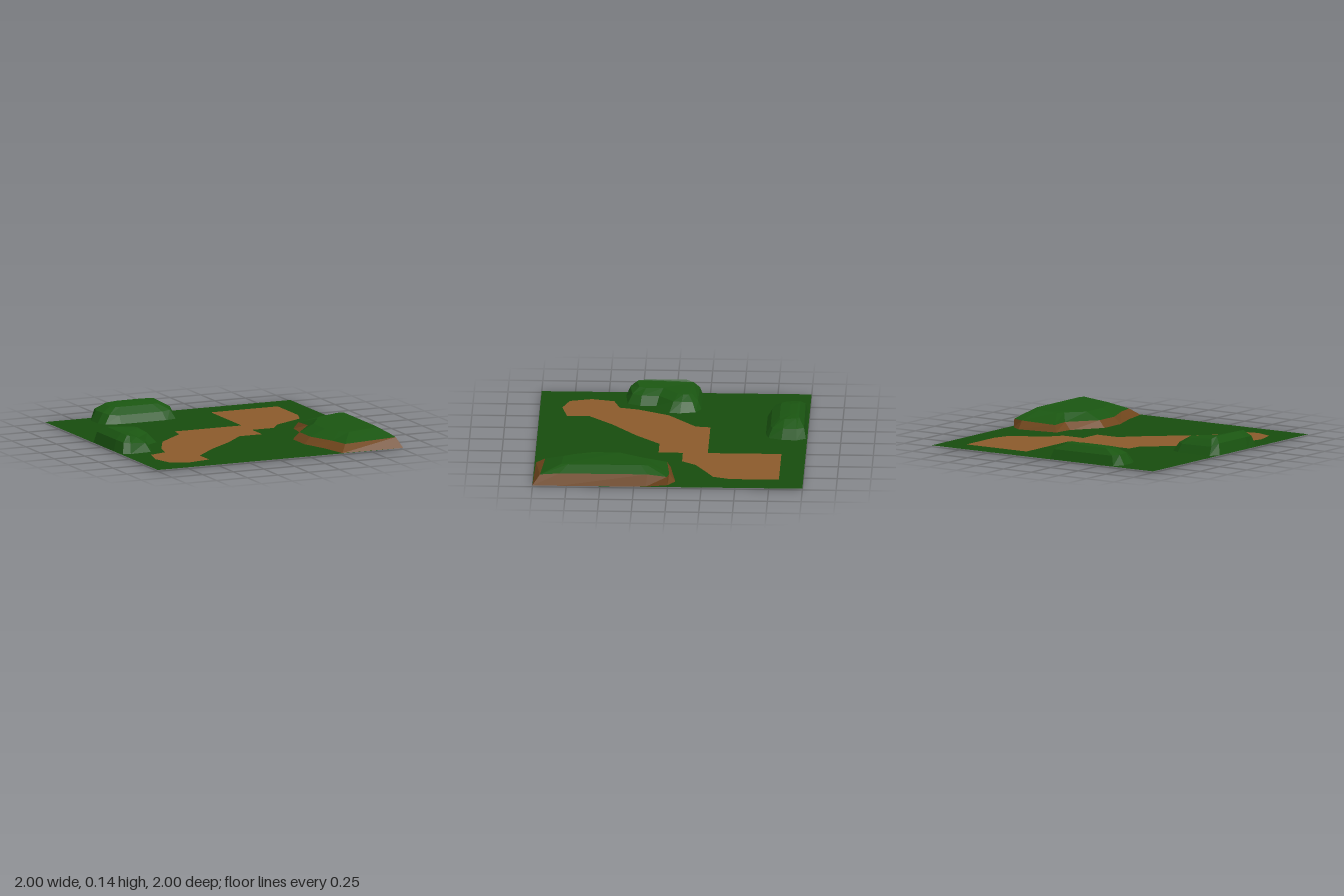
import * as THREE from 'three';

const GROUND_Y = 0.01;
const material = (color, side = THREE.FrontSide) =>
  new THREE.MeshStandardMaterial({ color, roughness: 1, flatShading: true, side });
const grass = material(0x174c0d, THREE.DoubleSide);
const dirt = material(0x8b5a2b, THREE.DoubleSide);
const leaves = material(0x1a5511);
const cliff = material(0x6f451c);

function addMesh(parent, name, geometry, mat) {
  const mesh = new THREE.Mesh(geometry, mat);
  mesh.name = name;
  parent.add(mesh);
}

// Joins rings of [x, y, z] points (clockwise from above); optionally closes the top.
function loft(rings, cap) {
  const positions = [];
  const tri = (a, b, c) => positions.push(...a, ...b, ...c);
  for (let r = 0; r + 1 < rings.length; r++) {
    const low = rings[r], high = rings[r + 1], n = low.length;
    for (let i = 0; i < n; i++) {
      const j = (i + 1) % n;
      tri(low[i], high[i], low[j]);
      tri(low[j], high[i], high[j]);
    }
  }
  if (cap) {
    const top = rings[rings.length - 1];
    const flat = top.map(([x, , z]) => new THREE.Vector2(x, z));
    for (const [a, b, c] of THREE.ShapeUtils.triangulateShape(flat, [])) {
      const area = THREE.ShapeUtils.area([flat[a], flat[b], flat[c]]);
      if (area > 0) tri(top[a], top[c], top[b]);
      else tri(top[a], top[b], top[c]);
    }
  }
  const geometry = new THREE.BufferGeometry();
  geometry.setAttribute('position', new THREE.Float32BufferAttribute(positions, 3));
  geometry.computeVertexNormals();
  return geometry;
}

// Flat geometry on the ground from an x, z outline.
const points = (outline) => outline.map(([x, z]) => new THREE.Vector2(x, -z));
const flatGeometry = (shape) =>
  new THREE.ShapeGeometry(shape).rotateX(-Math.PI / 2).translate(0, GROUND_Y, 0);

export function createModel() {
  const model = new THREE.Group();
  model.name = 'terrainTile';

  // Winding dirt path, set flush into the grass
  const pathOutline = points([
    [0.27, -0.82], [0.815, -0.82], [0.815, -0.46], [0.77, -0.33], [0.64, -0.26],
    [0.525, -0.195], [0.45, -0.09], [0.27, -0.09], [0.27, 0.09], [0.085, 0.09],
    [-0.09, 0.27], [-0.31, 0.45], [-0.49, 0.635], [-0.485, 0.795], [-0.66, 0.835],
    [-0.8, 0.785], [-0.845, 0.62], [-0.805, 0.455], [-0.67, 0.41], [-0.635, 0.27],
    [-0.52, 0.04], [-0.29, -0.165], [-0.275, -0.275], [0.27, -0.275],
  ]);
  const field = new THREE.Shape(points([[-1, -1], [1, -1], [1, 1], [-1, 1]]));
  field.holes.push(new THREE.Path(pathOutline));
  addMesh(model, 'grassField', flatGeometry(field), grass);
  addMesh(model, 'dirtPath', flatGeometry(new THREE.Shape(pathOutline)), dirt);

  // Hill: dirt bank below, grassy crown above
  const hill = new THREE.Group();
  hill.name = 'hill';
  const hillBase = [
    [0.57, 0.01, -0.01], [0.88, 0.01, -0.055], [0.96, 0.01, 0], [0.995, 0.01, 0.16],
    [1, 0.01, 0.8], [1, 0.01, 1], [0.51, 0.01, 0.99], [0.46, 0.005, 0.78],
    [0.39, 0.005, 0.57], [0.39, 0.005, 0.36], [0.545, 0.005, 0.14],
  ];
  const hillEdge = [
    [0.6, 0.06, 0.015], [0.88, 0.07, -0.01], [0.96, 0.075, 0.005], [0.965, 0.095, 0.15],
    [0.965, 0.095, 0.8], [0.965, 0.085, 0.945], [0.565, 0.062, 0.92], [0.53, 0.062, 0.77],
    [0.445, 0.062, 0.56], [0.445, 0.062, 0.37], [0.61, 0.062, 0.16],
  ];
  const hillTop = [
    [0.69, 0.12, 0.17], [0.84, 0.132, 0.15], [0.88, 0.135, 0.15], [0.89, 0.14, 0.2],
    [0.89, 0.14, 0.74], [0.88, 0.138, 0.79], [0.66, 0.12, 0.78], [0.61, 0.117, 0.7],
    [0.56, 0.115, 0.57], [0.56, 0.115, 0.37], [0.66, 0.12, 0.22],
  ];
  addMesh(hill, 'hillBank', loft([hillBase, hillEdge], false), cliff);
  addMesh(hill, 'hillCrown', loft([hillEdge, hillTop], true), leaves);
  model.add(hill);

  // Long bush at the back
  addMesh(model, 'backBush', loft([
    [[-0.63, 0.01, -0.985], [-0.06, 0.01, -0.99], [-0.02, 0.01, -0.92], [-0.03, 0.01, -0.81],
      [-0.065, 0.008, -0.71], [-0.15, 0, -0.685], [-0.52, 0, -0.685], [-0.635, 0.008, -0.725],
      [-0.665, 0.01, -0.79], [-0.67, 0.01, -0.9]],
    [[-0.61, 0.085, -0.97], [-0.09, 0.085, -0.975], [-0.06, 0.085, -0.92], [-0.065, 0.085, -0.82],
      [-0.1, 0.075, -0.74], [-0.17, 0.07, -0.725], [-0.52, 0.07, -0.725], [-0.59, 0.075, -0.745],
      [-0.62, 0.085, -0.8], [-0.63, 0.085, -0.9]],
    [[-0.53, 0.13, -0.935], [-0.18, 0.135, -0.935], [-0.15, 0.135, -0.915], [-0.15, 0.13, -0.83],
      [-0.18, 0.12, -0.795], [-0.22, 0.12, -0.79], [-0.48, 0.12, -0.79], [-0.52, 0.12, -0.795],
      [-0.55, 0.12, -0.83], [-0.55, 0.125, -0.915]],
    [[-0.45, 0.14, -0.92], [-0.26, 0.14, -0.92], [-0.24, 0.14, -0.91], [-0.24, 0.138, -0.88],
      [-0.25, 0.137, -0.87], [-0.28, 0.136, -0.86], [-0.44, 0.136, -0.86], [-0.45, 0.137, -0.87],
      [-0.46, 0.138, -0.88], [-0.46, 0.14, -0.91]],
  ], true), leaves);

  // Bent bush on the side
  addMesh(model, 'sideBush', loft([
    [[-0.95, 0.01, -0.2], [-0.66, 0.01, -0.195], [-0.59, 0.01, -0.155], [-0.565, 0.01, -0.04],
      [-0.57, 0.01, 0.04], [-0.715, 0.01, 0.14], [-0.715, 0.01, 0.26], [-0.76, 0.01, 0.355],
      [-0.93, 0.01, 0.37], [-0.985, 0.01, 0.35], [-1, 0.01, 0.22], [-1, 0.01, -0.14]],
    [[-0.95, 0.075, -0.175], [-0.68, 0.07, -0.17], [-0.63, 0.075, -0.13], [-0.62, 0.08, -0.05],
      [-0.63, 0.08, 0.01], [-0.755, 0.075, 0.12], [-0.755, 0.075, 0.25], [-0.79, 0.075, 0.32],
      [-0.92, 0.085, 0.34], [-0.965, 0.09, 0.32], [-0.98, 0.095, 0.22], [-0.98, 0.095, -0.12]],
    [[-0.92, 0.125, -0.13], [-0.72, 0.112, -0.12], [-0.69, 0.113, -0.1], [-0.68, 0.115, -0.06],
      [-0.7, 0.115, -0.02], [-0.82, 0.115, 0.09], [-0.82, 0.112, 0.22], [-0.84, 0.115, 0.27],
      [-0.9, 0.13, 0.29], [-0.92, 0.135, 0.28], [-0.93, 0.14, 0.2], [-0.93, 0.14, -0.08]],
  ], true), leaves);

  return model;
}
